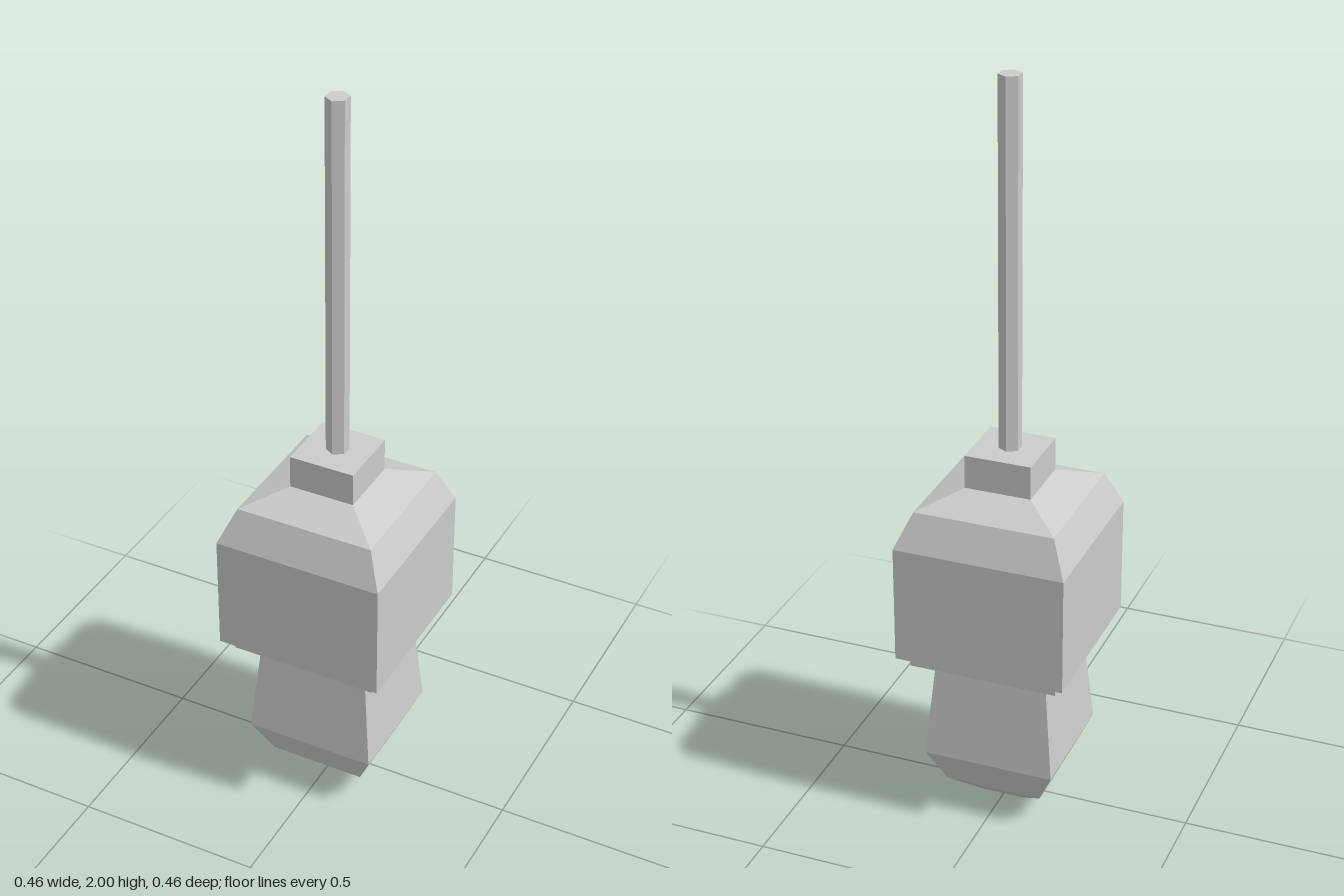
import * as THREE from 'three';

const material = new THREE.MeshStandardMaterial({ color: 0xcccccc, flatShading: true });

function addPart(group, name, geometry) {
  const flat = geometry.toNonIndexed();
  flat.computeVertexNormals();
  const mesh = new THREE.Mesh(flat, material);
  mesh.name = name;
  group.add(mesh);
  return mesh;
}

// Square body from [half width, height] pairs, bottom to top, capped at both ends
function squareLoft(profile, depthScale = 1) {
  const points = profile.map(([half, y]) => new THREE.Vector2(half * Math.SQRT2, y));
  points.unshift(new THREE.Vector2(0, profile[0][1]));
  points.push(new THREE.Vector2(0, profile[profile.length - 1][1]));
  return new THREE.LatheGeometry(points, 4, Math.PI / 4).scale(1, 1, depthScale);
}

export function createModel() {
  const group = new THREE.Group();
  group.name = 'hangingLamp';

  // Bulb, slightly shallower than wide
  addPart(group, 'bulb', squareLoft([
    [0.053, 0], [0.131, 0.065], [0.178, 0.165], [0.151, 0.45],
  ], 0.94));

  // Rim under the socket
  addPart(group, 'socketRim', squareLoft([[0.2, 0.45], [0.2, 0.482]]));

  // Socket with chamfered shoulders
  addPart(group, 'socket', squareLoft([
    [0.229, 0.482], [0.229, 0.802], [0.188, 0.897], [0.089, 0.937],
  ]));

  // Collar that grips the cord
  addPart(group, 'collar', squareLoft([[0.089, 0.937], [0.089, 1.027]]));

  // Six-sided hanging cord
  const cord = new THREE.CylinderGeometry(0.03, 0.03, 0.973, 6);
  addPart(group, 'cord', cord).position.y = 1.027 + 0.973 / 2;

  return group;
}
